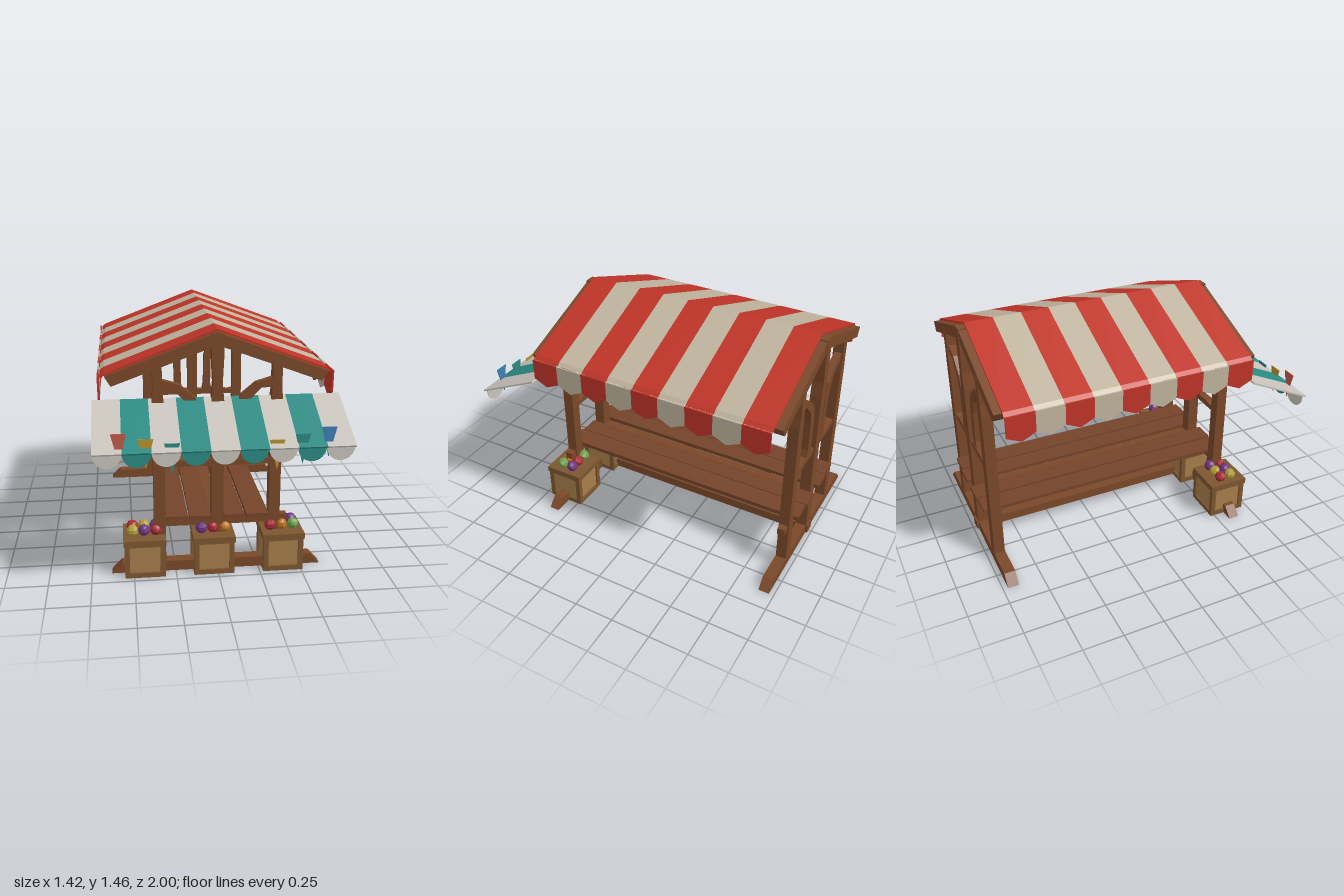
import * as THREE from 'three';

const mat = (color) => new THREE.MeshStandardMaterial({ color, flatShading: true, side: THREE.DoubleSide });
const wood = mat(0x7a4829), plankWood = mat(0x74442a), red = mat(0xbf3428), cream = mat(0xbfb49e);
const white = mat(0xc8c3bb), teal = mat(0x2a8a82), crateWood = mat(0xa67e4a), crateTrim = mat(0x7d5630);
const yellow = mat(0xb8922f), blue = mat(0x3f7fb5), coral = mat(0xc05a4c);
const purple = mat(0x6e3580), crimson = mat(0xa82c35), orange = mat(0xbf741f), green = mat(0x6fa24c), lemon = mat(0xb0a038);

function add(parent, name, geometry, material, x = 0, y = 0, z = 0) {
  const mesh = new THREE.Mesh(geometry, material);
  mesh.name = name;
  mesh.position.set(x, y, z);
  parent.add(mesh);
  return mesh;
}

// Box given by its extents on each axis
function block(parent, name, material, x0, x1, y0, y1, z0, z1) {
  return add(parent, name, new THREE.BoxGeometry(x1 - x0, y1 - y0, z1 - z0), material,
    (x0 + x1) / 2, (y0 + y1) / 2, (z0 + z1) / 2);
}

// Outline in x and y, extruded along z about its middle
function slab(points, depth) {
  const shape = new THREE.Shape(points.map(([x, y]) => new THREE.Vector2(x, y)));
  return new THREE.ExtrudeGeometry(shape, { depth, bevelEnabled: false }).translate(0, 0, -depth / 2);
}

const mirrored = (points, side) => points.map(([x, y]) => [x * side, y]);

// One end frame: sill, posts, rafters, rails and curved braces
function endFrame(z) {
  const g = new THREE.Group();
  g.name = 'endFrame';
  g.position.z = z;
  add(g, 'sill', slab([[-0.63, 0.005], [0.63, 0.005], [0.57, 0.068], [-0.57, 0.068]], 0.068), wood);
  add(g, 'centrePost', slab([[-0.036, 0.03], [0.036, 0.03], [0.036, 1.06], [0.027, 1.16],
    [0.034, 1.3], [0.034, 1.445], [-0.034, 1.445], [-0.034, 1.3], [-0.027, 1.16], [-0.036, 1.06]], 0.07), wood);
  block(g, 'shelfRail', wood, -0.375, 0.42, 0.292, 0.338, -0.024, 0.024);
  for (const s of [-1, 1]) {
    add(g, 'sidePost', slab(mirrored([[0.307, 0.03], [0.375, 0.03], [0.375, 1.06], [0.368, 1.13],
      [0.37, 1.29], [0.315, 1.3], [0.315, 1.13], [0.307, 1.06]], s), 0.066), wood);
    add(g, 'rafter', slab(mirrored([[0, 1.45], [0.635, 1.215], [0.6, 1.158], [0, 1.378]], s), 0.062), wood);
    add(g, 'middleRail', slab(mirrored([[0.02, 0.665], [0.32, 0.665], [0.32, 0.705], [0.27, 0.695],
      [0.23, 0.705], [0.14, 0.7], [0.02, 0.705]], s), 0.05), wood);
    add(g, 'curvedBrace', slab(mirrored([[0.32, 1.185], [0.22, 1.155], [0.125, 1.075], [0.09, 0.97],
      [0.085, 0.75], [0.075, 0.7], [0.15, 0.7], [0.138, 0.75], [0.143, 0.95], [0.17, 1.04],
      [0.25, 1.125], [0.32, 1.13]], s), 0.045), wood);
  }
  return g;
}

// Striped gable canopy with pointed side valances
function roof() {
  const g = new THREE.Group();
  g.name = 'roof';
  const w = 1.525 / 9, h = w / 2;
  const profile = [[-0.662, 1.205], [-0.64, 1.224], [0, 1.465], [0.64, 1.224], [0.662, 1.205],
    [0.652, 1.2], [0.637, 1.213], [0, 1.453], [-0.637, 1.213], [-0.652, 1.2]];
  const cover = slab(profile, w);
  const flap = slab([[-h, 1.208], [h, 1.208], [h, 1.08], [0, 1.04], [-h, 1.08]], 0.009).rotateY(Math.PI / 2);
  for (let i = 0; i < 9; i++) {
    const z = -0.92 + w * (i + 0.5), m = i % 2 ? cream : red;
    add(g, 'roofStripe', cover, m, 0, 0, z);
    for (const s of [-1, 1]) add(g, 'roofValance', flap, m, s * 0.654, 0, z).rotation.z = -s * 0.015;
  }
  return g;
}

// Sloping front awning with rounded scallops and pennants
function awning() {
  const g = new THREE.Group();
  g.name = 'awning';
  const w = 1.42 / 9, r = w / 2;
  const sheet = new THREE.BoxGeometry(w, 0.01, 0.44);
  const arc = [];
  for (let i = 0; i <= 16; i++) {
    const a = Math.PI * (1 + i / 16);
    arc.push([r * Math.cos(a), 0.882 + 0.082 * Math.sin(a)]);
  }
  const scallop = slab([...arc, [r, 0.9], [-r, 0.9]], 0.005);
  for (let i = 0; i < 9; i++) {
    const x = -0.71 + w * (i + 0.5), m = i % 2 ? teal : white;
    add(g, 'awningStripe', sheet, m, x, 0.978, 0.8).rotation.x = Math.atan2(0.185, 0.4);
    add(g, 'awningScallop', scallop, m, x, 0, 0.973);
  }
  const pennant = slab([[-0.042, 0], [0, -0.17], [0.042, 0]], 0.005);
  [[-0.567, 0.99, coral], [-0.425, 0.955, yellow], [-0.285, 0.927, teal],
    [0.282, 0.927, yellow], [0.422, 0.955, teal], [0.565, 0.99, blue]]
    .forEach(([x, y, m]) => add(g, 'pennant', pennant, m, x, y, 0.965));
  return g;
}

// Framed crate with two rows of produce
function crate(x, produce) {
  const g = new THREE.Group();
  g.name = 'crate';
  g.position.set(x, 0, 0.594);
  block(g, 'crateBody', crateWood, -0.108, 0.108, 0.006, 0.215, -0.108, 0.108);
  block(g, 'crateLid', crateTrim, -0.125, 0.125, 0.208, 0.245, -0.127, 0.127);
  // Frame of boards around each side panel
  const o = 0.12, i = 0.09, outline = [[-o, 0.005], [o, 0.005], [o, 0.21], [-o, 0.21]];
  const shape = new THREE.Shape(outline.map((p) => new THREE.Vector2(...p)));
  shape.holes.push(new THREE.Path([[-i, 0.035], [-i, 0.2], [i, 0.2], [i, 0.035]].map((p) => new THREE.Vector2(...p))));
  const frame = new THREE.ExtrudeGeometry(shape, { depth: 0.014, bevelEnabled: false }).translate(0, 0, 0.106);
  for (let k = 0; k < 4; k++) add(g, 'crateFrame', frame, k % 2 ? crateTrim : crateWood).rotation.y = k * Math.PI / 2;
  g.children.forEach((c) => { if (c.name === 'crateFrame') c.material = crateTrim; });
  const fruit = new THREE.SphereGeometry(0.036, 7, 5);
  produce.forEach((m, k) => {
    const f = add(g, 'produce', fruit, m, ((k % 3) - 1) * 0.069, 0.274, k < 3 ? 0.036 : -0.036);
    f.rotation.set(0.3 * k, 0.9 * k, 0.2 * k);
  });
  return g;
}

export function createModel() {
  const model = new THREE.Group();
  model.name = 'marketStall';
  model.add(endFrame(0.607), endFrame(-0.935));

  // Long beams joining the two frames
  block(model, 'groundBeam', wood, -0.034, 0.034, 0.012, 0.07, -0.982, 0.6);
  block(model, 'shelfBeam', wood, -0.034, 0.034, 0.288, 0.342, -0.93, 0.6);
  block(model, 'ridgeBeam', wood, -0.03, 0.03, 1.375, 1.432, -0.93, 0.6);

  // Shelf planks either side of the centre posts
  [[-0.303, -0.175, 0.65, -0.99], [-0.166, -0.04, 0.665, -0.998], [0.04, 0.162, 0.655, -0.998], [0.171, 0.303, 0.665, -0.992]]
    .forEach(([x0, x1, z1, z0], k) => block(model, 'shelfPlank', plankWood, x0, x1, 0.338, k % 2 ? 0.364 : 0.36, z0, z1));

  model.add(roof(), awning());
  model.add(crate(-0.435, [lemon, purple, crimson, crimson, lemon, purple]));
  model.add(crate(-0.025, [purple, crimson, orange, orange, purple, crimson]));
  model.add(crate(0.39, [crimson, orange, green, green, crimson, purple]));
  return model;
}
